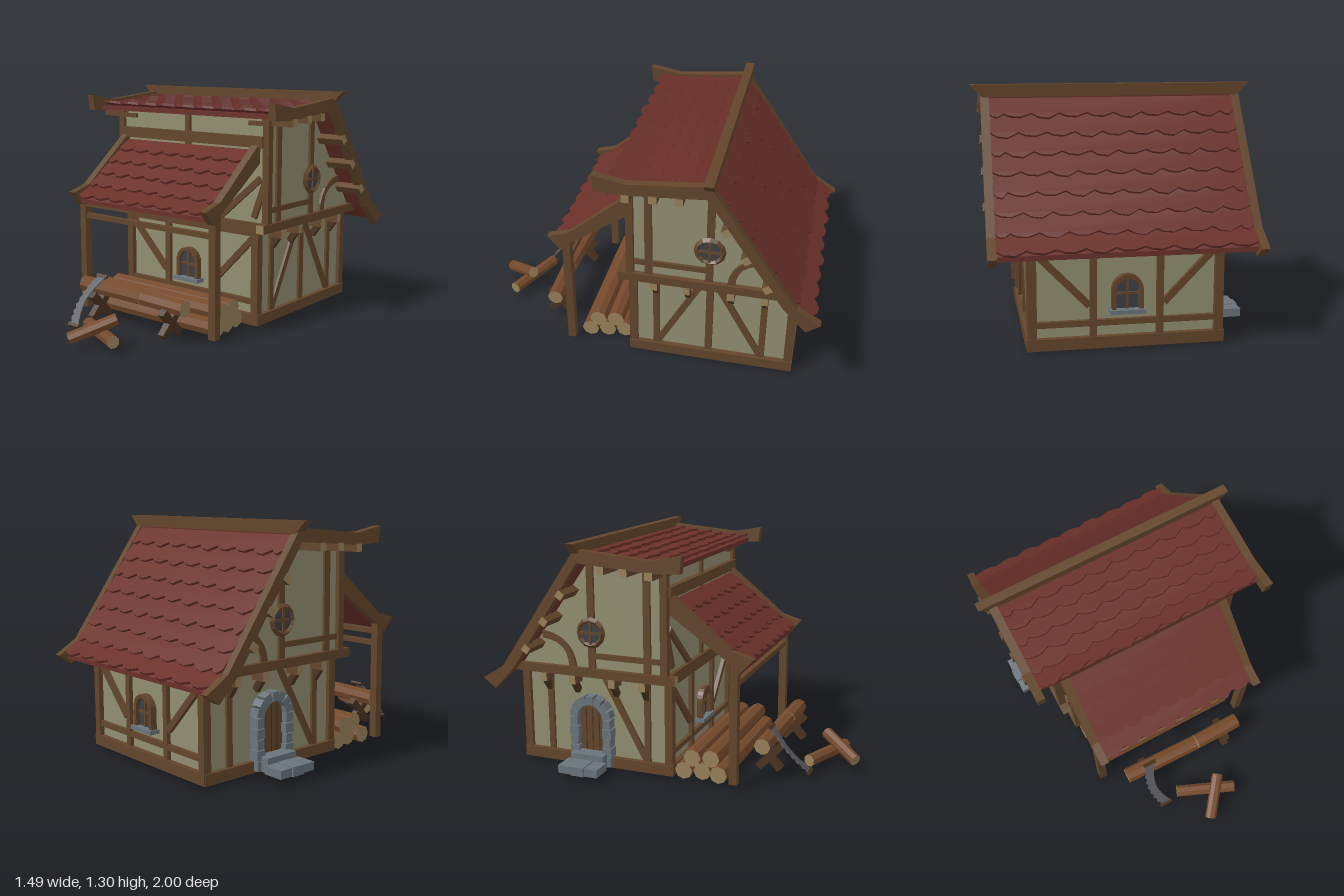
import * as THREE from 'three';

const mat = (color) => new THREE.MeshStandardMaterial({ color, flatShading: true, side: THREE.DoubleSide });
const WOOD = mat(0x62452b), DARK = mat(0x4a3320), WALL = mat(0x908e70), ROOF = mat(0x6a3029), END = mat(0x97815a),
  BARK = mat(0x74492b), GLASS = mat(0x3b4046), STONE = mat(0x69747b), STEEL = mat(0x56575c), FLOOR = mat(0x56543f);
const V = (x, y, z) => new THREE.Vector3(x, y, z);
const AX = V(1, 0, 0), AZ = V(0, 0, 1);

function add(parent, name, geo, material, x = 0, y = 0, z = 0) {
  const m = new THREE.Mesh(geo, material);
  m.name = name;
  m.position.set(x, y, z);
  parent.add(m);
  return m;
}
const box = (p, name, w, h, d, x, y, z, m = WOOD) => add(p, name, new THREE.BoxGeometry(w, h, d), m, x, y, z);

// Timber from a to b; w is its width across normal n, d its depth along n
function beam(p, name, a, b, n, w, d, m = WOOD, end = m) {
  const dir = b.clone().sub(a), len = dir.length();
  dir.normalize();
  const side = n.clone().cross(dir).normalize();
  const mesh = add(p, name, new THREE.BoxGeometry(len, w, d), end === m ? m : [end, end, m, m, m, m]);
  mesh.quaternion.setFromRotationMatrix(new THREE.Matrix4().makeBasis(dir, side, dir.clone().cross(side)));
  mesh.position.copy(a).lerp(b, 0.5);
}

// Octagonal log with pale cut ends
function log(p, name, a, b, r) {
  const mesh = add(p, name, new THREE.CylinderGeometry(r, r, a.distanceTo(b), 8), [BARK, END, END]);
  mesh.quaternion.setFromUnitVectors(V(0, 1, 0), b.clone().sub(a).normalize());
  mesh.position.copy(a).lerp(b, 0.5);
}

// Solid with a (z, y) profile, running along x
function profile(p, name, pts, width, x, m) {
  const shape = new THREE.Shape(pts.map(([z, y]) => new THREE.Vector2(z, y)));
  const g = new THREE.ExtrudeGeometry(shape, { depth: width, bevelEnabled: false });
  g.rotateY(-Math.PI / 2).translate(width / 2, 0, 0);
  return add(p, name, g, m, x);
}

// Overlapping rows of scalloped tiles on a (z, y) path from eave to ridge
function tiledRoof(p, name, path, half, x, rows, tiles) {
  const g = new THREE.Group();
  g.name = name;
  p.add(g);
  profile(g, 'roofBoards', [...path, ...path.slice().reverse().map(([z, y]) => [z, y - 0.025])], half * 2, x, ROOF);
  const curve = new THREE.CurvePath();
  for (let i = 1; i < path.length; i++)
    curve.add(new THREE.LineCurve3(V(0, path[i - 1][1], path[i - 1][0]), V(0, path[i][1], path[i][0])));
  for (let r = 0; r < rows; r++) {
    const a = curve.getPointAt(r / rows), b = curve.getPointAt(Math.min(1, (r + 1.15) / rows));
    const up = b.clone().sub(a), h = up.length();
    up.normalize();
    const ex = V(up.z < 0 ? 1 : -1, 0, 0), n = ex.clone().cross(up);
    const s = new THREE.Shape();
    s.moveTo(half, h);
    s.lineTo(-half, h);
    s.lineTo(-half, 0.012);
    const w = half * 2 / tiles, shift = r % 2 ? 0.5 : 0;
    for (let i = 0; i <= tiles; i++) {
      const x0 = Math.max(-half, -half + (i - shift) * w), x1 = Math.min(half, -half + (i + 1 - shift) * w);
      if (x1 - x0 < 0.01) continue;
      const dip = (i + r) % 3 ? -0.012 : -0.022;
      s.lineTo(x0 + (x1 - x0) * 0.25, dip * 0.6);
      s.lineTo(x0 + (x1 - x0) * 0.6, dip);
      s.lineTo(x1, 0.012);
    }
    const geo = new THREE.ExtrudeGeometry(s, { depth: 0.014, bevelEnabled: false });
    geo.rotateX(-0.016 / h);
    const m = add(g, 'tileRow', geo, ROOF);
    m.quaternion.setFromRotationMatrix(new THREE.Matrix4().makeBasis(ex, up, n));
    m.position.copy(a).addScaledVector(n, 0.016).add(V(x, 0, 0));
  }
}

function arch(w, h, Type = THREE.Shape) {
  const s = new Type();
  s.moveTo(-w / 2, 0);
  s.lineTo(w / 2, 0);
  s.lineTo(w / 2, h - w / 2);
  s.absarc(0, h - w / 2, w / 2, 0, Math.PI, false);
  s.lineTo(-w / 2, 0);
  return s;
}
const slab = (shape, depth) => new THREE.ExtrudeGeometry(shape, { depth, bevelEnabled: false, curveSegments: 6 });

function archedWindow(p, z, turn) {
  const g = new THREE.Group();
  g.name = 'archedWindow';
  const frame = arch(0.16, 0.19);
  frame.holes.push(arch(0.115, 0.168, THREE.Path));
  add(g, 'windowFrame', slab(frame, 0.035), WOOD);
  add(g, 'windowGlass', slab(arch(0.13, 0.17), 0.01), GLASS);
  box(g, 'mullion', 0.012, 0.17, 0.02, 0, 0.085, 0.01);
  box(g, 'glazingBar', 0.12, 0.012, 0.02, 0, 0.09, 0.01);
  box(g, 'windowSill', 0.18, 0.022, 0.06, 0, 0, 0.02, STONE);
  g.position.set(0, 0.2, z);
  g.rotation.y = turn;
  p.add(g);
}

function buildHouse(root) {
  const g = new THREE.Group();
  g.name = 'house';
  g.position.x = -0.01;
  root.add(g);
  box(g, 'lowerWalls', 0.95, 0.53, 0.87, 0, 0.295, -0.4, WALL);
  box(g, 'floor', 0.94, 0.01, 0.86, 0, 0.025, -0.4, FLOOR);
  profile(g, 'upperWalls', [[0.04, 0.56], [0.04, 1.17], [-0.39, 1.2], [-0.84, 0.57]], 1.07, 0, WALL);

  // Front and back timbers
  for (const [z, f] of [[0.04, 1], [-0.84, -1]]) {
    const strut = (a, b, c, d, w = 0.035) => beam(g, 'wallTimber', V(a, b, z), V(c, d, z), AZ, w, 0.035);
    box(g, 'sill', 1, 0.06, 0.05, 0, 0.04, z);
    strut(-0.48, 0.53, 0.48, 0.53, 0.03);
    strut(-0.48, 0.14, 0.48, 0.14, 0.03);
    box(g, 'floorBeam', 1.08, 0.045, 0.05, 0, 0.57, z);
    for (const s of [-1, 1]) {
      strut(s * 0.17, 0.05, s * 0.17, 0.55);
      strut(s * 0.47, 0.52, s * 0.19, 0.23);
      box(g, 'cornerPost', 0.045, 0.52, 0.045, s * 0.475, 0.3, z);
      if (f > 0) {
        box(g, 'upperCornerPost', 0.04, 0.6, 0.04, s * 0.54, 0.87, z);
        strut(s * 0.2, 0.58, s * 0.5, 0.84);
        strut(s * 0.42, 1.14, s * 0.54, 1.14, 0.025);
        strut(s * 0.54, 0.84, s * 0.46, 0.62);
      }
    }
    archedWindow(g, z + f * 0.005, f > 0 ? 0 : Math.PI);
  }
  beam(g, 'centrePost', V(-0.015, 0.58, 0.04), V(-0.015, 1.17, 0.04), AZ, 0.035, 0.03);
  box(g, 'leanToLedger', 1.06, 0.06, 0.05, -0.005, 1.04, 0.05);

  // Side timbers, round windows, brackets and purlins
  for (const s of [-1, 1]) {
    const strut = (x, a, b, c, d, w = 0.035) => beam(g, 'sideTimber', V(s * x, b, a), V(s * x, d, c), AX, w, 0.03);
    const lo = 0.475, hi = 0.535;
    box(g, 'sideSill', 0.05, 0.06, 0.92, s * 0.48, 0.04, -0.4);
    beam(g, 'overhangBeam', V(s * 0.54, 0.57, 0.105), V(s * 0.54, 0.57, -0.86), AX, 0.048, 0.05, WOOD, END);
    strut(lo, -0.09, 0.05, -0.09, 0.55);
    strut(lo, -0.69, 0.05, -0.69, 0.55);
    strut(lo, -0.35, 0.54, -0.1, 0.08);
    if (s > 0) {
      strut(lo, -0.39, 0.05, -0.39, 0.55, 0.04);
      strut(lo, -0.42, 0.54, -0.68, 0.08);
    }
    strut(hi, -0.06, 0.58, -0.06, 1.17, 0.04);
    strut(hi, -0.39, 0.58, -0.39, 1.2, 0.04);
    strut(hi, 0.04, 0.665, -0.39, 0.665, 0.03);
    const bend = new THREE.QuadraticBezierCurve(new THREE.Vector2(-0.485, 0.58), new THREE.Vector2(-0.5, 0.76), new THREE.Vector2(-0.69, 0.785)).getPoints(6);
    const inner = bend.map((v) => [v.x, v.y]), outer = bend.map((v, i) => [v.x - 0.045 + i * 0.007, v.y - i * 0.007]).reverse();
    profile(g, 'curvedBrace', [...inner, ...outer], 0.03, s * hi, WOOD);
    for (const z of [-0.09, -0.27, -0.51, -0.69]) {
      beam(g, 'joistEnd', V(s * 0.45, 0.52, z), V(s * 0.56, 0.52, z), AZ, 0.05, 0.04, WOOD, END);
      beam(g, 'bracket', V(s * 0.485, 0.44, z), V(s * 0.535, 0.51, z), AZ, 0.035, 0.028, DARK);
    }
    for (const [z, y, t] of [[0.02, 1.15, 0], [-0.12, 1.16, 0], [-0.25, 1.165, 0], [-0.49, 1.02, 1], [-0.595, 0.87, 1], [-0.71, 0.71, 1]])
      beam(g, 'purlin', V(s * 0.5, y, z), V(s * 0.7, y, z), t ? V(0, 0.58, -0.81) : AZ, 0.042, 0.042, WOOD, END);
    const w = new THREE.Group();
    w.name = 'roundWindow';
    w.position.set(s * 0.54, 0.795, -0.39);
    w.rotation.y = s * Math.PI / 2;
    g.add(w);
    add(w, 'windowRing', new THREE.TorusGeometry(0.07, 0.017, 4, 12), WOOD, 0, 0, 0.01);
    add(w, 'windowGlass', new THREE.CylinderGeometry(0.068, 0.068, 0.03, 12).rotateX(Math.PI / 2), GLASS);
    box(w, 'glazingBar', 0.014, 0.13, 0.03, 0, 0, 0.008);
    box(w, 'glazingBar', 0.13, 0.014, 0.03, 0, 0, 0.008);
    // Bargeboard over both slopes
    profile(g, 'bargeboard', [[0.195, 1.26], [0.02, 1.228], [-0.39, 1.265], [-0.42, 1.24], [-0.866, 0.6], [-0.995, 0.52],
      [-0.92, 0.466], [-0.8, 0.59], [-0.39, 1.195], [0.03, 1.163], [0.185, 1.17]], 0.045, s * 0.668, WOOD);
  }
  tiledRoof(g, 'frontRoof', [[0.12, 1.195], [0.03, 1.19], [-0.4, 1.23]], 0.648, 0, 6, 9);
  tiledRoof(g, 'backRoof', [[-0.94, 0.52], [-0.84, 0.6], [-0.4, 1.22]], 0.648, 0, 8, 9);
  const ridge = new THREE.Shape([[-0.68, 1.235], [0.68, 1.235], [0.745, 1.3], [-0.745, 1.3]].map(([x, y]) => new THREE.Vector2(x, y)));
  add(g, 'ridgeBeam', slab(ridge, 0.05), WOOD, 0, 0, -0.425);
}

// Stone doorway and steps on the right side
function buildDoor(root) {
  const g = new THREE.Group();
  g.name = 'doorway';
  g.position.set(-0.485, 0.02, -0.42);
  g.rotation.y = -Math.PI / 2;
  root.add(g);
  add(g, 'door', slab(arch(0.17, 0.36), 0.025), WOOD);
  for (const x of [-0.04, 0, 0.04]) box(g, 'plankGap', 0.006, 0.33, 0.006, x, 0.165, 0.025, DARK);
  for (const s of [-1, 1]) for (let i = 0; i < 5; i++)
    box(g, 'jambStone', 0.045 + (i % 2) * 0.01, 0.052, 0.07, s * 0.1, 0.028 + i * 0.056, 0.025, STONE);
  for (let i = 0; i < 7; i++) {
    const a = (i + 0.5) * Math.PI / 7;
    const m = box(g, 'archStone', 0.05, 0.042, 0.07 + (i % 2) * 0.008, Math.cos(a) * 0.1, 0.28 + Math.sin(a) * 0.1, 0.025, STONE);
    m.rotation.z = a;
  }
  box(g, 'upperStep', 0.2, 0.08, 0.1, 0, 0.04, 0.06, STONE);
  for (let i = 0; i < 3; i++) box(g, 'lowerStep', 0.076, 0.045 + (i % 2) * 0.006, 0.12, (i - 1) * 0.08, 0.024, 0.165 + (i % 2) * 0.006, STONE);
}

function buildLeanTo(root) {
  const g = new THREE.Group();
  g.name = 'leanTo';
  g.position.x = -0.02;
  root.add(g);
  for (const s of [-1, 1]) {
    box(g, 'porchPost', 0.045, 0.68, 0.045, s * 0.485, 0.36, 0.415);
    profile(g, 'leanToBargeboard', [[0.055, 1.04], [0.4, 0.756], [0.52, 0.72], [0.45, 0.643], [0.38, 0.7], [0.055, 0.925]], 0.045, s * 0.488, WOOD);
  }
  box(g, 'porchRail', 0.96, 0.03, 0.035, 0, 0.645, 0.415);
  box(g, 'porchRail', 0.96, 0.028, 0.03, 0, 0.575, 0.415);
  tiledRoof(g, 'leanToRoof', [[0.47, 0.68], [0.38, 0.735], [0.055, 0.985]], 0.468, 0, 5, 8);
}

function buildYard(root) {
  const g = new THREE.Group();
  g.name = 'woodYard';
  root.add(g);
  [[0.32, 0.047], [0.22, 0.047], [0.12, 0.047], [0.27, 0.125], [0.17, 0.125]].forEach(([z, y], i) =>
    log(g, 'stackedLog', V(-0.49 + (i % 2) * 0.02, y, z), V(0.42 - (i % 3) * 0.015, y, z), 0.05));
  // Sawhorse with a half-cut log
  for (const x of [-0.26, 0.27]) for (const s of [-1, 1])
    beam(g, 'sawhorseLeg', V(x, 0.04, 0.545 - s * 0.062), V(x, 0.175, 0.545 + s * 0.062), AX, 0.04, 0.04, DARK);
  log(g, 'sawnLog', V(-0.39, 0.205, 0.535), V(0.08, 0.21, 0.55), 0.046);
  log(g, 'sawnLog', V(0.085, 0.21, 0.55), V(0.375, 0.2, 0.545), 0.046);
  log(g, 'looseLog', V(-0.15, 0.065, 0.74), V(0.18, 0.065, 0.88), 0.035);
  log(g, 'looseLog', V(-0.045, 0.06, 0.98), V(0.11, 0.15, 0.78), 0.034);
  // Curved saw leaning on the log
  const pts = [], L = 0.32;
  for (let i = 0; i <= 16; i++) {
    const t = i / 16;
    pts.push(new THREE.Vector2(-0.035 * Math.sin(t * Math.PI) + (i % 2 ? 0.012 : 0), t * L));
  }
  for (let i = 8; i >= 0; i--) pts.push(new THREE.Vector2(0.07 - 0.05 * Math.sin(i / 8 * Math.PI), i / 8 * L));
  const saw = add(g, 'sawBlade', slab(new THREE.Shape(pts), 0.005), STEEL, -0.275, 0.04, 0.765);
  saw.rotation.x = -0.76;
  for (const y of [0, L]) box(saw, 'sawHandle', 0.08, 0.018, 0.014, 0.035, y, 0.002, DARK);
}

export function createModel() {
  const root = new THREE.Group();
  root.name = 'timberCottage';
  buildHouse(root);
  buildDoor(root);
  buildLeanTo(root);
  buildYard(root);
  return root;
}
